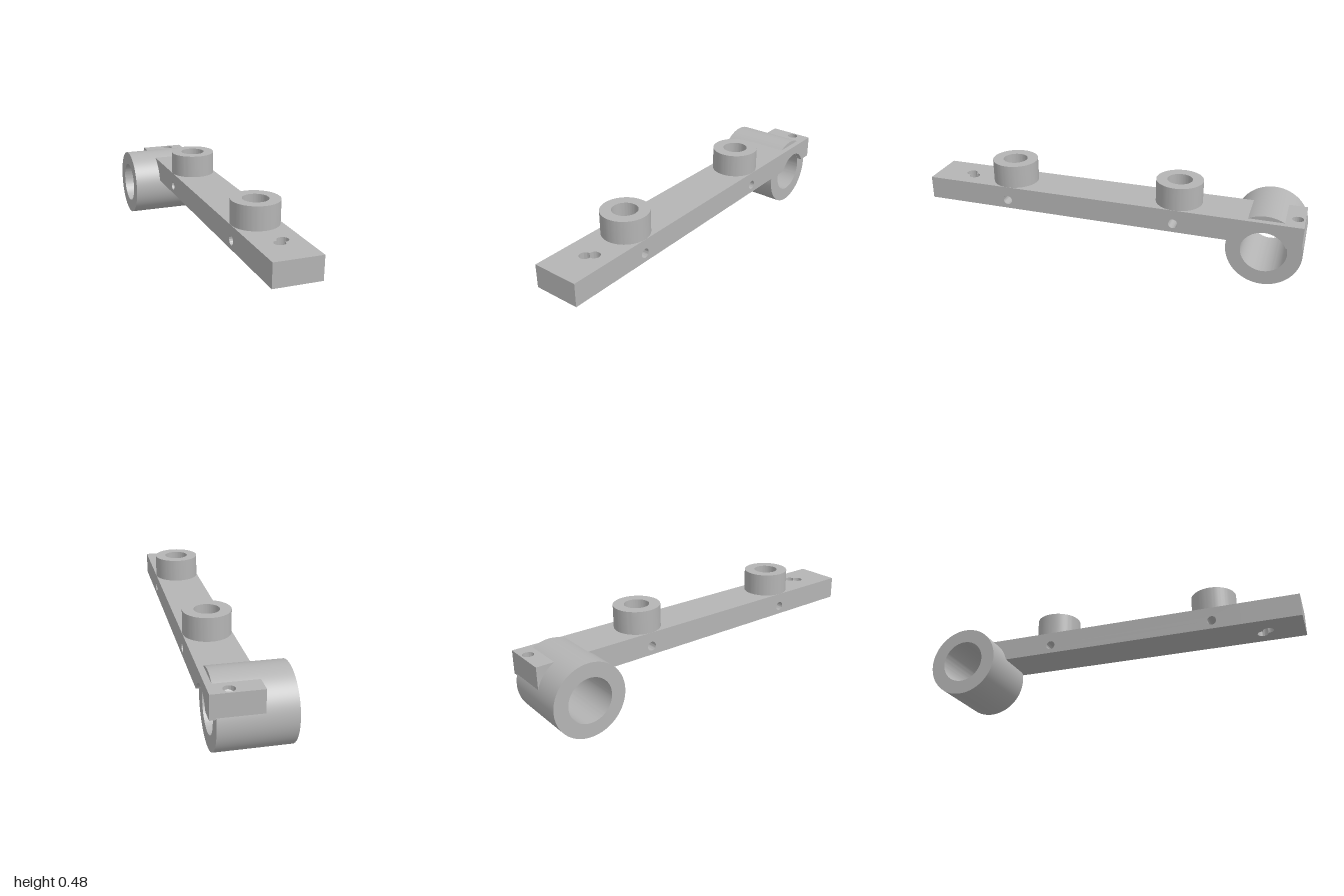
import * as THREE from 'three';
import { toCreasedNormals } from 'three/addons/utils/BufferGeometryUtils.js';

const X0 = -0.047, X1 = 0.195;      // bar width
const Y0 = 0.236, Y1 = 0.356;       // bar height
const MID = (X0 + X1) / 2;
const BORE = { z: -0.811, y: 0.189, outer: 0.189, inner: 0.115 };
const BOSS_Z = [-0.36, 0.545];

function circle(x, y, r, PathType = THREE.Path) {
  const p = new PathType();
  p.absarc(x, y, r, 0, Math.PI * 2, false);
  return p;
}

function rect(x0, y0, x1, y1) {
  return new THREE.Shape([[x0, y0], [x1, y0], [x1, y1], [x0, y1]].map(([x, y]) => new THREE.Vector2(x, y)));
}

function extrude(shape, depth) {
  return new THREE.ExtrudeGeometry(shape, { depth, bevelEnabled: false, curveSegments: 48 });
}

// Profile drawn in (-z, y), extruded from xa to xb
function alongX(shape, xa, xb) {
  return toCreasedNormals(extrude(shape, xb - xa).rotateY(Math.PI / 2).translate(xa, 0, 0), 0.5);
}

// Profile drawn in (x, z), extruded from ya up to yb
function alongY(shape, ya, yb) {
  return toCreasedNormals(extrude(shape, yb - ya).rotateX(Math.PI / 2).translate(0, yb, 0), 0.5);
}

export function createModel() {
  const group = new THREE.Group();
  const grey = new THREE.MeshStandardMaterial({ color: 0xb4b4b4 });
  grey.name = 'grey metal';
  const add = (name, geometry) => {
    const mesh = new THREE.Mesh(geometry, grey);
    mesh.name = name;
    group.add(mesh);
  };

  // Main bar with cross holes and a notch that clears the tube bore
  const frontSplit = 0.7, backSplit = -0.918;
  const s = -BORE.z, r = BORE.inner + 0.0005;
  const a = Math.asin((Y0 - BORE.y) / r);
  const bar = new THREE.Shape();
  bar.moveTo(-frontSplit, Y0);
  bar.lineTo(s - r * Math.cos(a), Y0);
  bar.absarc(s, BORE.y, r, Math.PI - a, a, true);
  bar.lineTo(-backSplit, Y0);
  bar.lineTo(-backSplit, Y1);
  bar.lineTo(-frontSplit, Y1);
  bar.closePath();
  for (const z of BOSS_Z) bar.holes.push(circle(-z - 0.003, 0.282, 0.024));
  add('barMiddle', alongX(bar, X0, X1));

  // Front end of the bar with two overlapping vertical holes
  const front = rect(X0, frontSplit, X1, 1);
  const p = new THREE.Vector2(0.073, 0.816), q = new THREE.Vector2(0.103, 0.785);
  const holeR = 0.028;
  const dir = Math.atan2(q.y - p.y, q.x - p.x);
  const half = Math.acos(p.distanceTo(q) / 2 / holeR);
  const pair = new THREE.Path();
  pair.absarc(p.x, p.y, holeR, dir + half, dir + Math.PI * 2 - half, false);
  pair.absarc(q.x, q.y, holeR, dir - Math.PI + half, dir + Math.PI - half, false);
  front.holes.push(pair);
  add('barFrontEnd', alongY(front, Y0, Y1));

  // Back end of the bar with a single hole ending on the tube
  const back = rect(X0, -0.992, X1, backSplit);
  back.holes.push(circle(0.103, -0.955, holeR));
  add('barBackEnd', alongY(back, Y0, Y1));

  // Cross tube
  const ring = circle(s, BORE.y, BORE.outer, THREE.Shape);
  ring.holes.push(circle(s, BORE.y, BORE.inner));
  add('crossTube', alongX(ring, -0.197, 0.165));

  // Round bosses on the top of the bar
  for (const z of BOSS_Z) {
    const boss = circle(MID, z, 0.12, THREE.Shape);
    boss.holes.push(circle(MID, z, 0.064));
    add('boss', alongY(boss, Y1, 0.476));
  }
  return group;
}
